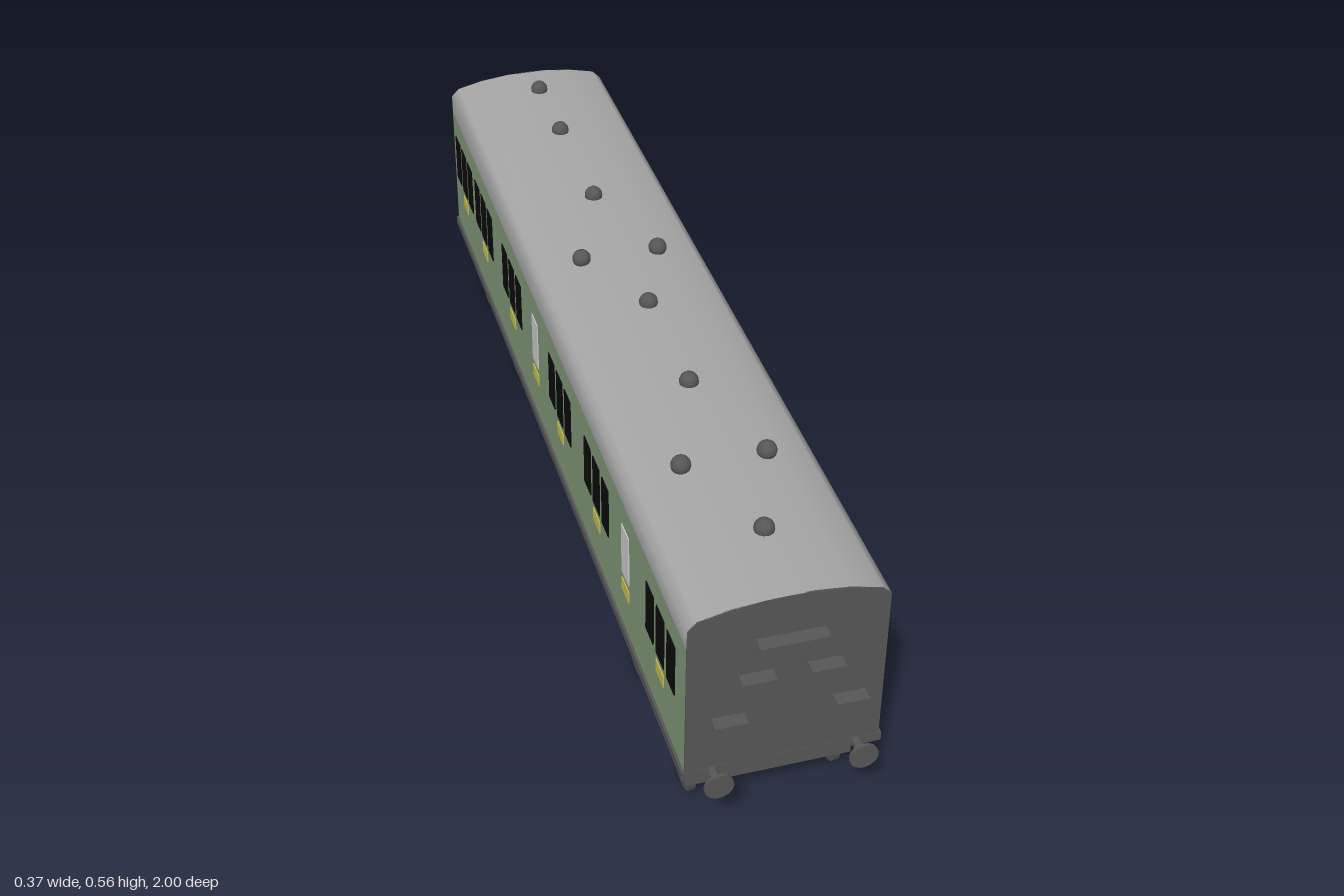
import * as THREE from 'three';

const paint = (name, color) => {
  const m = new THREE.MeshStandardMaterial({ color });
  m.name = name;
  return m;
};

export function createModel() {
  const green = paint('green', 0x82997a);
  const roofGrey = paint('roof grey', 0xa6a6a6);
  const dark = paint('dark grey', 0x565656);
  const black = paint('window black', 0x0a0a0a);
  const pale = paint('frosted pane', 0xcccccc);
  const yellow = paint('yellow', 0xc8c050);

  const group = new THREE.Group();
  group.name = 'railwayCoach';

  function add(name, geometry, material, x = 0, y = 0, z = 0) {
    const mesh = new THREE.Mesh(geometry, material);
    mesh.name = name;
    mesh.position.set(x, y, z);
    group.add(mesh);
    return mesh;
  }
  // Box given by its limits on each axis
  function box(name, material, [x0, x1], [y0, y1], [z0, z1]) {
    return add(name, new THREE.BoxGeometry(x1 - x0, y1 - y0, z1 - z0), material,
      (x0 + x1) / 2, (y0 + y1) / 2, (z0 + z1) / 2);
  }

  const L = 0.957; // half length of the body
  const W = 0.18; // half width of the body
  const floorY = 0.167;
  const eavesY = 0.457;

  // Body sides
  box('bodySides', green, [-W, W], [floorY, eavesY], [-L + 0.002, L - 0.002]);

  // Roof: a smooth strip along the arched cross-section
  const half = [[W, eavesY], [W, 0.497], [0.163, 0.514], [0.107, 0.527], [0.045, 0.534]];
  const arch = [...half, [0, 0.535], ...half.map(([x, y]) => [-x, y]).reverse()];
  const positions = [];
  const index = [];
  arch.forEach(([x, y], i) => {
    positions.push(x, y, L, x, y, -L);
    if (i < arch.length - 1) {
      const a = i * 2;
      index.push(a, a + 1, a + 2, a + 2, a + 1, a + 3);
    }
  });
  const roof = new THREE.BufferGeometry();
  roof.setAttribute('position', new THREE.Float32BufferAttribute(positions, 3));
  roof.setIndex(index);
  roof.computeVertexNormals();
  add('roof', roof, roofGrey);

  // End walls follow the same arch
  const endShape = new THREE.Shape(
    [[-W, floorY], [W, floorY], ...arch].map(([x, y]) => new THREE.Vector2(x, y)));
  const endGeometry = new THREE.ExtrudeGeometry(endShape, { depth: 0.003, bevelEnabled: false });
  add('frontEndWall', endGeometry, dark, 0, 0, L - 0.002);
  add('backEndWall', endGeometry, dark, 0, 0, -L - 0.001);

  // Floor frame
  box('floorFrame', dark, [-0.185, 0.185], [0.148, floorY], [-L - 0.002, L + 0.002]);

  // Windows, frosted panes and yellow labels on both sides
  const bays = [0.806, 0.371, 0.084, -0.345, -0.629, -0.841];
  const toilets = [0.579, -0.127];
  const paneGeometry = new THREE.BoxGeometry(0.004, 0.111, 0.048);
  const labelGeometry = new THREE.BoxGeometry(0.004, 0.027, 0.048);
  for (const side of [-1, 1]) {
    const x = side * W;
    for (const z of bays) {
      for (const k of [-1, 0, 1]) add('window', paneGeometry, black, x, 0.35, z + k * 0.0655);
    }
    for (const z of toilets) add('frostedWindow', paneGeometry, pale, x, 0.35, z);
    for (const z of [...bays, ...toilets]) add('sideLabel', labelGeometry, yellow, x, 0.265, z);
  }

  // Roof vents
  const ventGeometry = new THREE.SphereGeometry(0.019, 16, 12);
  const vents = [-0.862, -0.66, -0.365, 0.063, 0.34, 0.785].map(z => [0.01, z]);
  for (const z of [-0.127, 0.58]) vents.push([-0.078, z], [0.084, z]);
  for (const [x, z] of vents) add('roofVent', ventGeometry, dark, x, 0.539, z);

  // Steps and buffers at each end
  const steps = [[0.003, 0.45, 0.125], [-0.057, 0.374, 0.062], [0.067, 0.374, 0.062],
    [-0.105, 0.284, 0.06], [0.116, 0.284, 0.06]];
  const headGeometry = new THREE.CylinderGeometry(0.027, 0.027, 0.006, 24).rotateX(Math.PI / 2);
  const stemGeometry = new THREE.CylinderGeometry(0.01, 0.01, 0.04, 12).rotateX(Math.PI / 2);
  for (const end of [-1, 1]) {
    for (const [x, y, width] of steps) {
      add('endStep', new THREE.BoxGeometry(width, 0.003, 0.028), dark,
        x - (end < 0 ? 0.025 : 0), y, end * (L + 0.014));
    }
    for (const x of [-0.129, 0.138]) {
      add('bufferHead', headGeometry, dark, x, 0.159, end * 0.997);
      add('bufferStem', stemGeometry, dark, x, 0.159, end * 0.977);
    }
  }

  // Bogies with four wheels each
  const wheelGeometry = new THREE.CylinderGeometry(0.064, 0.064, 0.01, 32).rotateZ(Math.PI / 2);
  for (const z of [0.673, -0.668]) {
    box('bogieFrame', dark, [-0.163, 0.151], [0.077, 0.136], [z - 0.236, z + 0.236]);
    box('bogieBolster', dark, [-0.145, 0.135], [0.136, 0.149], [z - 0.18, z + 0.18]);
    for (const dz of [-0.152, 0.152]) {
      for (const x of [-0.14, 0.136]) add('wheel', wheelGeometry, dark, x, 0.064, z + dz);
    }
  }

  // Equipment box and V-shaped truss rods under the floor
  box('underfloorBox', dark, [-0.1, 0.12], [0.088, 0.149], [-0.222, 0.182]);
  const truss = new THREE.Shape([[0.35, 0.149], [0.29, 0.149], [-0.025, 0.08],
    [-0.31, 0.149], [-0.37, 0.149], [-0.025, 0.063]].map(([z, y]) => new THREE.Vector2(z, y)));
  const trussGeometry = new THREE.ExtrudeGeometry(truss, { depth: 0.014, bevelEnabled: false })
    .rotateY(-Math.PI / 2);
  for (const x of [0.165, -0.121]) add('trussRod', trussGeometry, dark, x, 0, 0);

  return group;
}
